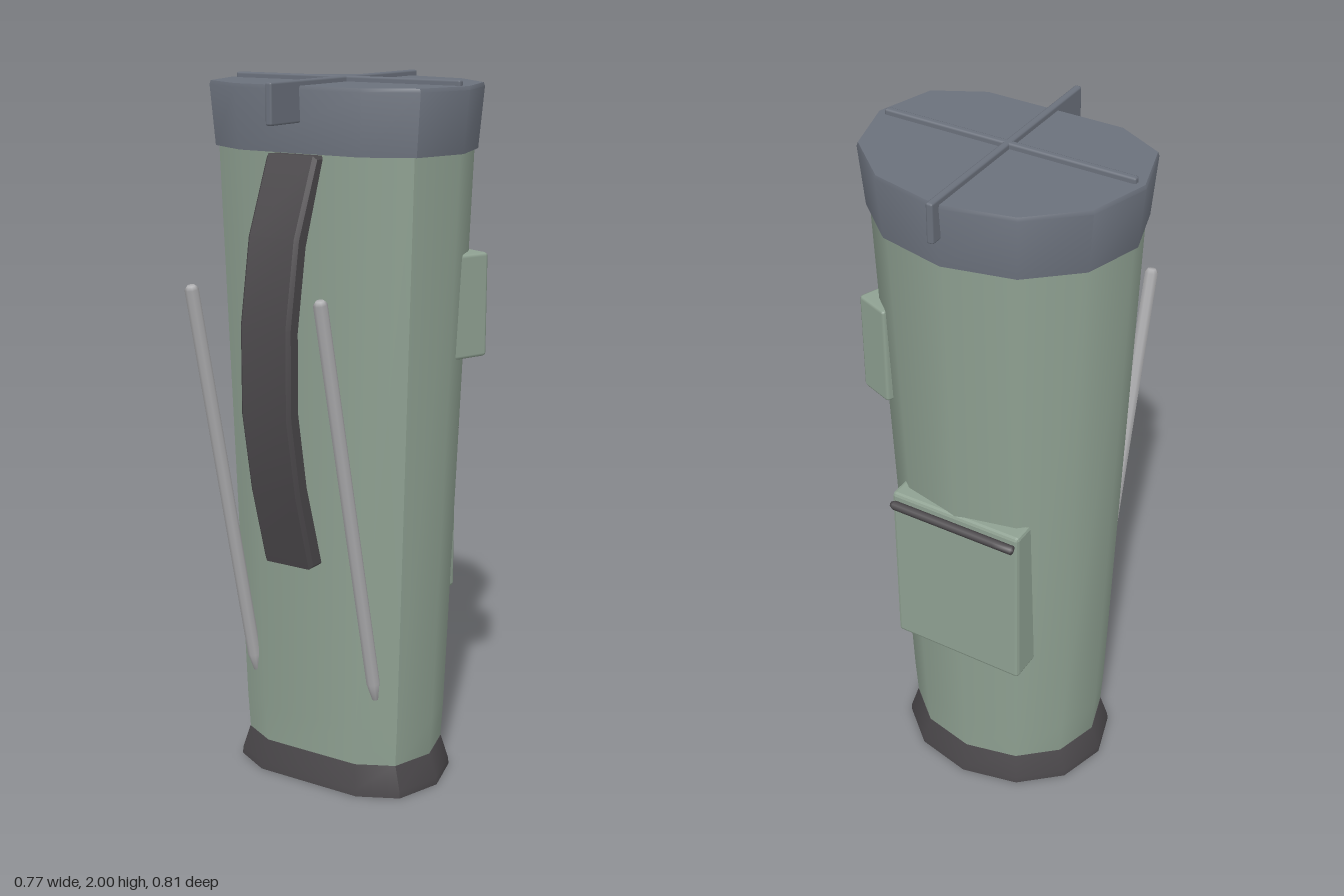
import * as THREE from 'three';
import { toCreasedNormals } from 'three/addons/utils/BufferGeometryUtils.js';
import { RoundedBoxGeometry } from 'three/addons/geometries/RoundedBoxGeometry.js';

const material = (color) => new THREE.MeshStandardMaterial({ color });
const ZC = -0.045; // depth of the widest line of the section

// Half of the eleven-sided section, from the flat front to the back point
const HALF = [[0.2, 0.235], [0.335, 0.165], [0.385, 0], [0.335, -0.17], [0.2, -0.29]];
const SECTION = [...HALF, [0, -0.335], ...HALF.map(([x, z]) => [-x, z]).reverse()];

// Stack scaled copies of the section; levels are [y, scale]
function loft(levels) {
  const n = SECTION.length, pos = [], idx = [];
  for (const [y, s] of levels)
    for (const [x, z] of SECTION) pos.push(x * s, y, ZC + z * s);
  const last = levels.length - 1;
  for (let i = 0; i < last; i++)
    for (let j = 0; j < n; j++) {
      const a = i * n + j, b = i * n + (j + 1) % n;
      idx.push(a, b, b + n, a, b + n, a + n);
    }
  const low = pos.length / 3, high = low + 1;
  pos.push(0, levels[0][0], ZC, 0, levels[last][0], ZC);
  for (let j = 0; j < n; j++) {
    const k = (j + 1) % n;
    idx.push(low, k, j, high, last * n + j, last * n + k);
  }
  const g = new THREE.BufferGeometry();
  g.setAttribute('position', new THREE.Float32BufferAttribute(pos, 3));
  g.setIndex(idx);
  return toCreasedNormals(g, 0.7);
}

// Round rod between two points
function rod(from, to, r0, r1, sides = 8) {
  const a = new THREE.Vector3(...from), b = new THREE.Vector3(...to);
  const dir = b.clone().sub(a), len = dir.length();
  const profile = [[0, 0], [r0, 0.005], [r1, 0.06], [r1, len - 0.01], [r1 * 0.6, len], [0, len]]
    .map(([r, y]) => new THREE.Vector2(r, y));
  const g = new THREE.LatheGeometry(profile, sides);
  g.applyQuaternion(new THREE.Quaternion().setFromUnitVectors(new THREE.Vector3(0, 1, 0), dir.normalize()));
  return g.translate(...from);
}

export function createModel() {
  const model = new THREE.Group();
  const green = material(0x8fa192), slate = material(0x6b717c);
  const dark = material(0x4b484b), metal = material(0xb0b0b2);
  const add = (name, geometry, mat) => {
    const mesh = new THREE.Mesh(geometry, mat);
    mesh.name = name;
    model.add(mesh);
    return mesh;
  };

  // Tapered bag, flared foot and rim collar
  add('base', loft([[0, 0.825], [0.02, 0.82], [0.09, 0.76]]), dark);
  add('body', loft([[0.08, 0.755], [0.2, 0.775], [1.82, 0.935]]), green);
  add('collar', loft([[1.81, 0.96], [1.975, 1], [1.985, 0.99]]), slate);

  // Crossed dividers over the opening
  add('longDivider', new RoundedBoxGeometry(0.02, 0.11, 0.72, 1, 0.006).translate(0, 1.945, -0.045), slate);
  add('crossDivider', new RoundedBoxGeometry(0.72, 0.11, 0.02, 1, 0.006).translate(0, 1.945, ZC), slate);

  // Bowed carrying strap, drawn in side profile and extruded across
  const outer = [[0.21, 1.8], [0.295, 1.6], [0.335, 1.37], [0.335, 1.13], [0.295, 0.91], [0.235, 0.7]];
  const inner = [[0.195, 0.7], [0.265, 0.93], [0.303, 1.14], [0.303, 1.36], [0.265, 1.58], [0.185, 1.8]];
  const strapShape = new THREE.Shape([...outer, ...inner].map(([z, y]) => new THREE.Vector2(z, y)));
  const strap = new THREE.ExtrudeGeometry(strapShape, {
    depth: 0.14, bevelEnabled: true, bevelSize: 0.01, bevelThickness: 0.01, bevelSegments: 1,
  });
  strap.translate(0, 0, -0.07).rotateY(-Math.PI / 2);
  add('strap', toCreasedNormals(strap, 0.6), dark);

  // Pair of stand legs leaning away from the front
  for (const side of [1, -1])
    add(side > 0 ? 'leftLeg' : 'rightLeg',
      rod([side * 0.205, 0.29, 0.11], [side * 0.205, 1.47, 0.385], 0.009, 0.019), metal);

  // Small side pocket, turned slightly to the front
  const sidePocket = add('sidePocket', new RoundedBoxGeometry(0.11, 0.29, 0.13, 1, 0.01), green);
  sidePocket.position.set(0.285, 1.385, -0.172);
  sidePocket.rotation.y = -0.36;

  // Large back pocket, a little deeper toward its bottom
  const pocket = new RoundedBoxGeometry(0.4, 0.51, 0.09, 1, 0.01);
  const p = pocket.attributes.position;
  for (let i = 0; i < p.count; i++)
    if (p.getZ(i) > 0 && p.getY(i) < 0) p.setZ(i, p.getZ(i) + 0.02);
  pocket.computeVertexNormals();
  add('backPocket', pocket.translate(0, 0.755, -0.29), green);
  add('pocketZip', rod([-0.195, 0.98, -0.347], [0.195, 0.98, -0.347], 0.013, 0.013), dark);

  return model;
}
